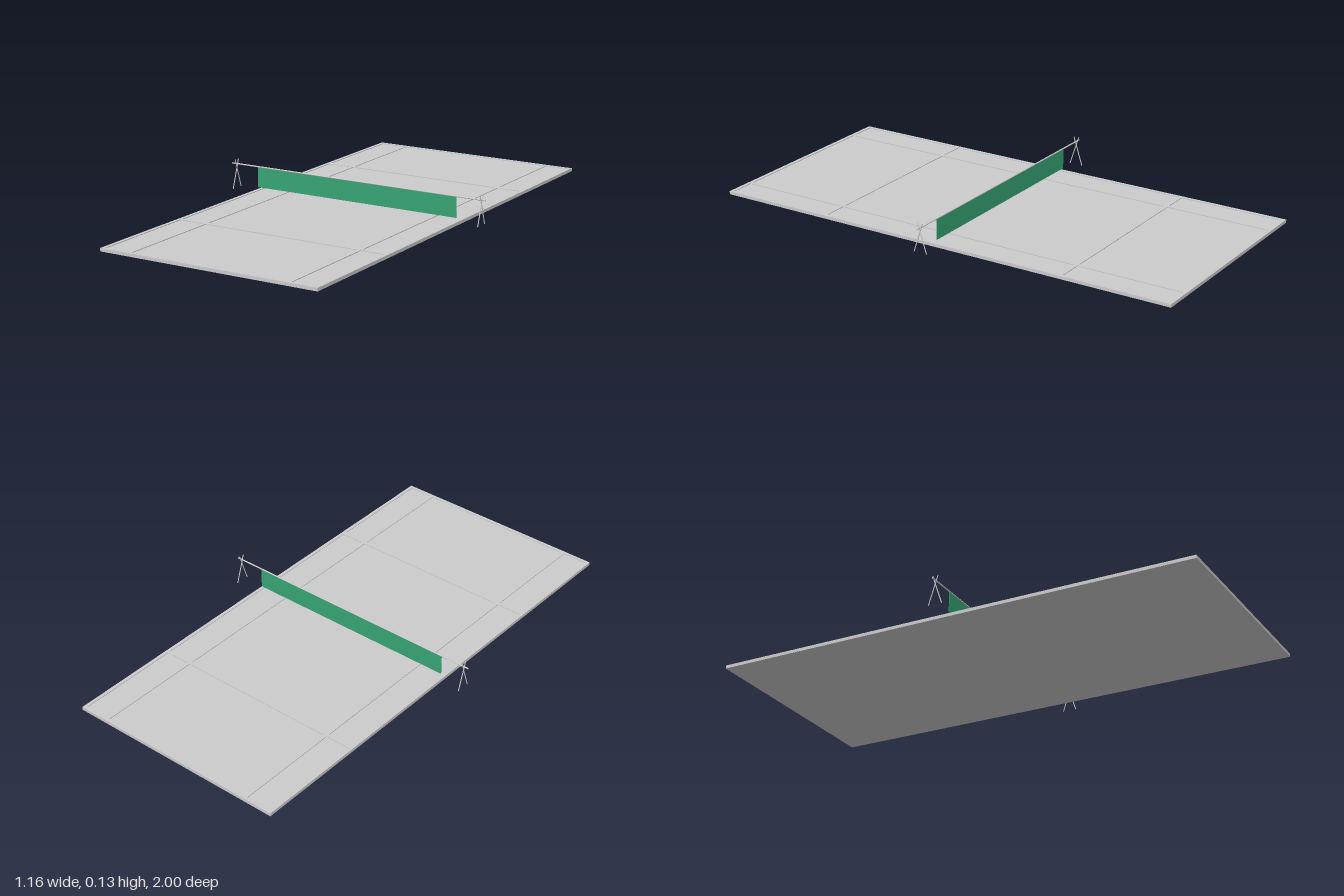
import * as THREE from 'three';

const grey = new THREE.MeshStandardMaterial({ color: 0xcccccc });
const green = new THREE.MeshStandardMaterial({ color: 0x36a574 });

function box(name, size, pos, material = grey) {
  const mesh = new THREE.Mesh(new THREE.BoxGeometry(...size), material);
  mesh.name = name;
  mesh.position.set(...pos);
  return mesh;
}

// Round rod between two points
function rod(name, from, to, radius) {
  const a = new THREE.Vector3(...from), b = new THREE.Vector3(...to);
  const dir = b.clone().sub(a);
  const mesh = new THREE.Mesh(new THREE.CylinderGeometry(radius, radius, dir.length(), 12), grey);
  mesh.name = name;
  mesh.position.copy(a).add(b).multiplyScalar(0.5);
  mesh.quaternion.setFromUnitVectors(new THREE.Vector3(0, 1, 0), dir.normalize());
  return mesh;
}

export function createModel() {
  const model = new THREE.Group();
  model.name = 'tennisCourt';

  const halfW = 0.467, halfL = 1, slabH = 0.01;
  const lineW = 0.014, lineH = 0.003, lineY = slabH + lineH / 2;

  // Court slab
  model.add(box('courtSlab', [halfW * 2, slabH, halfL * 2], [0, slabH / 2, 0]));

  // Raised court markings
  const lines = new THREE.Group();
  lines.name = 'courtLines';
  const edgeX = halfW - lineW / 2, edgeZ = halfL - lineW / 2;
  for (const x of [-edgeX, -0.341, 0.346, edgeX])
    lines.add(box('sideLine', [lineW, lineH, halfL * 2], [x, lineY, 0]));
  for (const z of [-edgeZ, -0.545, 0.525, edgeZ])
    lines.add(box('crossLine', [halfW * 2, lineH, lineW], [0, lineY, z]));
  model.add(lines);

  // Net hanging from its bar
  model.add(box('net', [0.91, 0.085, 0.002], [0, 0.0675, 0], green));
  model.add(rod('netBar', [-0.58, 0.11, 0], [0.58, 0.11, 0], 0.003));

  // Crossed legs holding each end of the bar
  for (const x of [-0.559, 0.562]) {
    const stand = new THREE.Group();
    stand.name = 'netStand';
    for (const s of [-1, 1])
      stand.add(rod('standLeg', [x, 0.01, s * 0.028], [x, 0.128, -s * 0.011], 0.002));
    model.add(stand);
  }
  return model;
}
